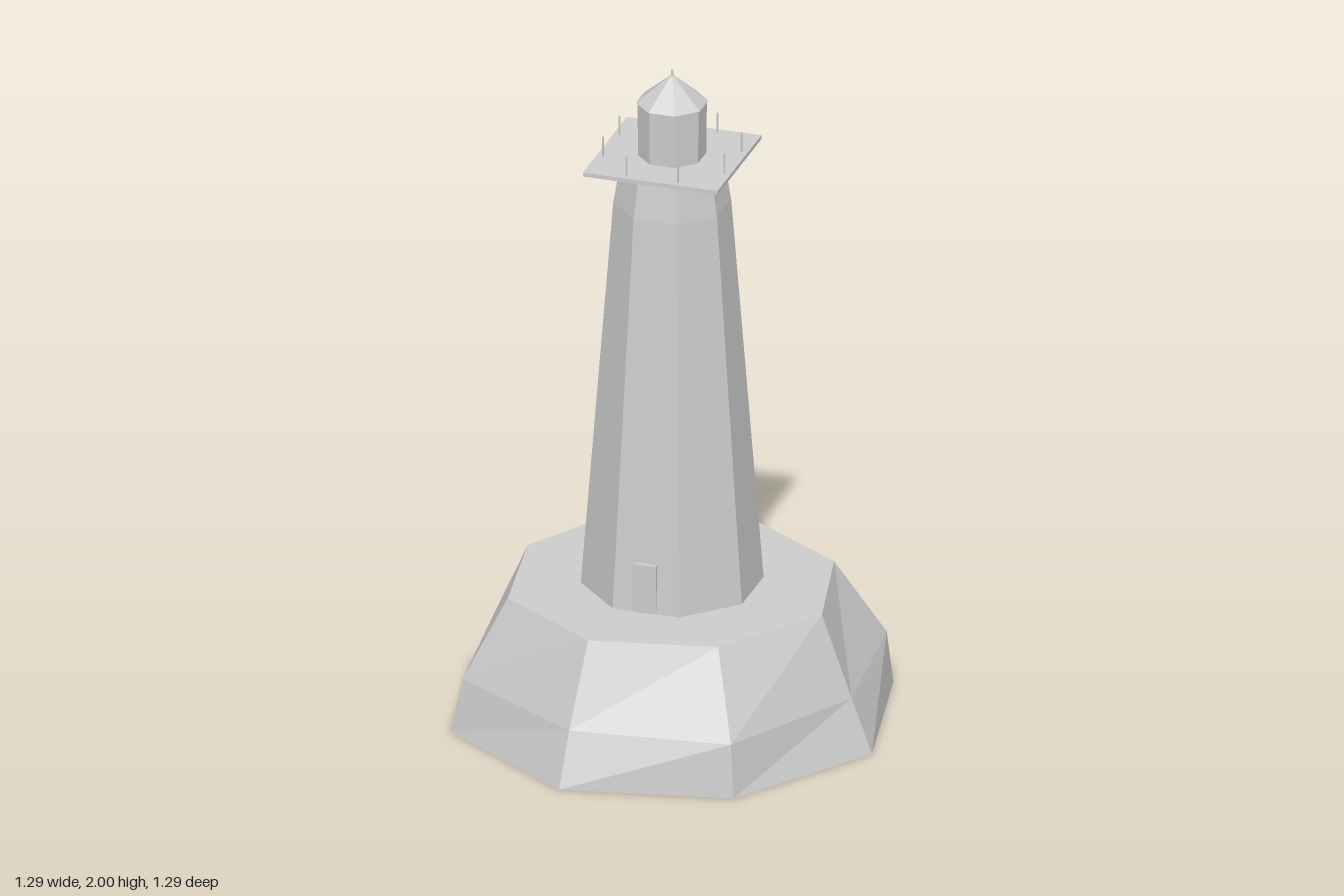
import * as THREE from 'three';

const stone = new THREE.MeshStandardMaterial({ color: 0xcccccc, side: THREE.DoubleSide, flatShading: true });
stone.name = 'pale grey stone';

// Skin a stack of rings ({ y, pts: [x, z] }), with an optional flat cap on the last ring
function loft(rings, cap = false) {
  const pos = [];
  const put = (ring, i) => {
    const [x, z] = ring.pts[i % ring.pts.length];
    pos.push(x, ring.y, z);
  };
  const n = rings[0].pts.length;
  for (let r = 0; r < rings.length - 1; r++) {
    const lo = rings[r], hi = rings[r + 1];
    for (let i = 0; i < n; i++) {
      put(lo, i); put(lo, i + 1); put(hi, i + 1);
      put(lo, i); put(hi, i + 1); put(hi, i);
    }
  }
  if (cap) {
    const top = rings[rings.length - 1];
    for (let i = 1; i < n - 1; i++) { put(top, 0); put(top, i); put(top, i + 1); }
  }
  const g = new THREE.BufferGeometry();
  g.setAttribute('position', new THREE.Float32BufferAttribute(pos, 3));
  g.computeVertexNormals();
  return g;
}

// Eight-sided ring: half width w across the flats, half length s of the main sides
const octagon = (y, w, s) => ({
  y, pts: [[-s, w], [s, w], [w, s], [w, -s], [s, -w], [-s, -w], [-w, -s], [-w, s]],
});

export function createModel() {
  const group = new THREE.Group();
  group.name = 'lighthouse';
  const add = (name, geo, x = 0, y = 0, z = 0) => {
    const mesh = new THREE.Mesh(geo, stone);
    mesh.name = name;
    mesh.position.set(x, y, z);
    group.add(mesh);
    return mesh;
  };

  // Slightly uneven rock base, open underneath
  add('base', loft([
    { y: 0, pts: [[-0.13, 0.643], [0.362, 0.546], [0.643, 0.13], [0.546, -0.363], [0.13, -0.645], [-0.363, -0.548], [-0.645, -0.133], [-0.548, 0.36]] },
    { y: 0.16, pts: [[-0.12, 0.58], [0.35, 0.53], [0.578, 0.118], [0.53, -0.352], [0.128, -0.625], [-0.325, -0.495], [-0.575, -0.12], [-0.52, 0.335]] },
    { y: 0.4, pts: [[-0.098, 0.474], [0.27, 0.403], [0.482, 0.097], [0.4, -0.265], [0.095, -0.464], [-0.278, -0.42], [-0.466, -0.097], [-0.407, 0.267]] },
  ], true));

  // Tapering tower
  add('tower', loft([
    octagon(0.4, 0.242, 0.1),
    octagon(1.59, 0.156, 0.065),
    octagon(1.725, 0.135, 0.056),
  ], true));

  // Door plate standing just proud of the front face
  add('door', new THREE.BoxGeometry(0.068, 0.15, 0.02), -0.003, 0.475, 0.235);

  // Square gallery with two posts on each side
  add('gallery', new THREE.BoxGeometry(0.405, 0.012, 0.405), 0, 1.73, 0);
  const posts = new THREE.Group();
  posts.name = 'railingPosts';
  group.add(posts);
  const postGeo = new THREE.CylinderGeometry(0.003, 0.003, 0.062, 6);
  for (const a of [-0.183, 0.183]) {
    for (const b of [-0.077, 0.077]) {
      posts.add(add('railingPost', postGeo, a, 1.766, b));
      posts.add(add('railingPost', postGeo, b, 1.766, a));
    }
  }

  // Lantern room, pointed roof and finial
  add('lantern', loft([octagon(1.736, 0.09, 0.038), octagon(1.9, 0.092, 0.038)]));
  add('roof', loft([octagon(1.9, 0.096, 0.04), octagon(1.982, 0.005, 0.002)], true));
  add('roofUnderside', loft([octagon(1.9, 0.096, 0.04)], true));
  add('finial', new THREE.CylinderGeometry(0.003, 0.005, 0.03, 8), 0, 1.985, 0);

  return group;
}
